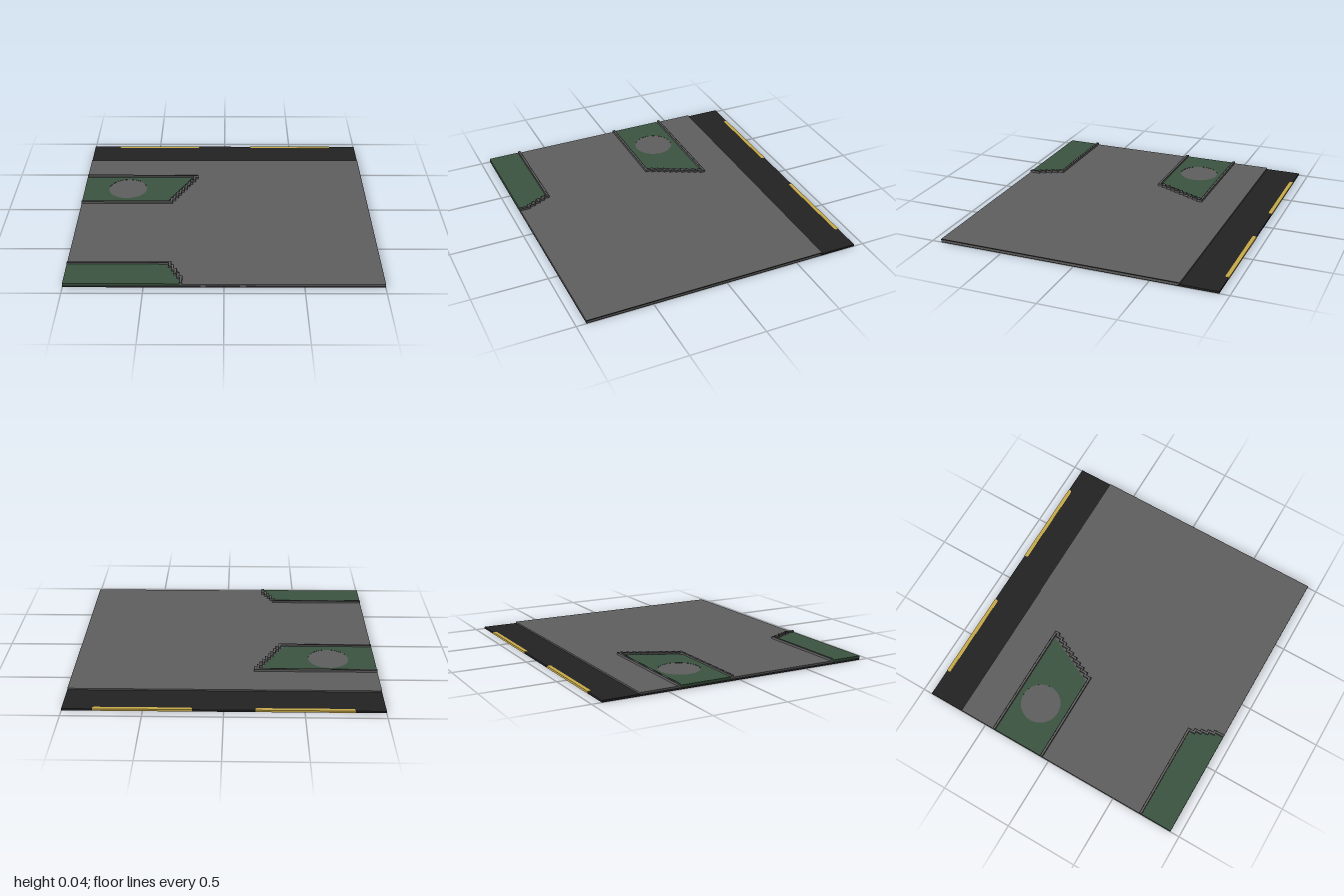
import * as THREE from 'three';

export function createModel() {
  const group = new THREE.Group();
  const material = (name, color) => {
    const m = new THREE.MeshStandardMaterial({ color });
    m.name = name;
    return m;
  };
  const asphalt = material('asphalt black', 0x222222);
  const concrete = material('concrete grey', 0x5f5f5f);
  const joint = material('joint dark grey', 0x363636);
  const grass = material('grass green', 0x3a543f);
  const paint = material('line yellow', 0xc8aa48);

  const add = (name, geometry, mat) => {
    const mesh = new THREE.Mesh(geometry, mat);
    mesh.name = name;
    group.add(mesh);
    return mesh;
  };
  const box = (name, mat, x0, x1, y0, y1, z0, z1) => {
    add(name, new THREE.BoxGeometry(x1 - x0, y1 - y0, z1 - z0), mat)
      .position.set((x0 + x1) / 2, (y0 + y1) / 2, (z0 + z1) / 2);
  };
  // Flat slab from an outline of [x, z] points, between heights y0 and y1
  const slab = (name, mat, points, y0, y1, hole) => {
    const shape = new THREE.Shape(points.map(([x, z]) => new THREE.Vector2(x, -z)));
    if (hole) shape.holes.push(new THREE.Path().absarc(hole.x, -hole.z, hole.r, 0, Math.PI * 2, true));
    const geometry = new THREE.ExtrudeGeometry(shape, { depth: y1 - y0, bevelEnabled: false, curveSegments: 16 });
    geometry.rotateX(-Math.PI / 2).translate(0, y0, 0);
    add(name, geometry, mat);
  };

  const D = 0.935;
  // Road base with two slots open to the front
  const slots = [[-0.145, -0.115, 0.45], [0.1, 0.135, 0.47]];
  const baseOutline = [[-1, -D], [0.998, -D], [0.998, D]];
  for (const [x0, x1, z] of [...slots].reverse()) baseOutline.push([x1, D], [x1, z], [x0, z], [x0, D]);
  baseOutline.push([-1, D]);
  slab('roadBase', asphalt, baseOutline, 0, 0.013);
  for (const [x0, x1, z] of slots) box('slotFilling', concrete, x0, x1, 0, 0.013, z, D);

  // Grass beds and the pavement cut out around them
  const backBed = [[-1, -0.415], [-0.235, -0.415], [-0.25, -0.375], [-0.395, -0.078], [-0.415, -0.062], [-1, -0.062]];
  const frontBed = [[-1, 0.72], [-0.375, 0.72], [-0.355, 0.735], [-0.275, 0.9], [-0.27, D], [-1, D]];
  const well = { x: -0.69, z: -0.25, r: 0.135 };
  slab('pavement', concrete, [
    [-1, -0.69], [0.998, -0.69], [0.998, D],
    ...frontBed.slice(0, 5).reverse(), ...[...backBed].reverse(),
  ], 0.013, 0.023);
  slab('backGrassBed', grass, backBed, 0.013, 0.027, well);
  slab('frontGrassBed', grass, frontBed, 0.013, 0.027);
  const disc = add('treeDisc', new THREE.CylinderGeometry(well.r, well.r, 0.013, 32), concrete);
  disc.position.set(well.x, 0.0195, well.z);

  // Edge bands on the left side
  box('edgeLowerBand', concrete, 0.998, 1, 0.005, 0.016, -0.68, D);
  box('edgeUpperBand', asphalt, 0.998, 1, 0.016, 0.023, -0.69, D);
  box('edgeFoot', asphalt, 0.998, 1, 0, 0.005, -0.69, D);
  box('edgeRoad', asphalt, 0.998, 1, 0, 0.013, -D, -0.69);

  // Stepped kerbs: each corner is [x, z, inward x, inward z]
  const backKerb = [[-1, -0.437, 0, 1], [-0.19, -0.437, -1, 1]];
  const steps = 10, dx = 0.019, dz = 0.0392;
  for (let i = 1; i <= steps; i++) {
    const z = -0.437 + dz * i;
    backKerb.push([-0.19 - dx * (i - 1), z, -1, -1]);
    if (i < steps) backKerb.push([-0.19 - dx * i, z, -1, -1]);
  }
  backKerb.push([-1, -0.045, 0, -1]);

  const frontKerb = [[-1, 0.7, 0, 1]];
  for (let i = 0; i < 5; i++) {
    const x = -0.335 + 0.019 * i;
    frontKerb.push([x, 0.7 + 0.04 * i, -1, 1]);
    if (i < 4) frontKerb.push([x, 0.74 + 0.04 * i, -1, 1]);
  }
  frontKerb.push([-0.259, D, -1, 0]);

  const band = (name, mat, path, d0, d1, y0, y1) => {
    const offset = (d) => path.map(([x, z, nx, nz]) => [x + nx * d, z + nz * d]);
    slab(name, mat, [...offset(d0), ...offset(d1).reverse()], y0, y1);
  };
  for (const [name, path] of [['backKerb', backKerb], ['frontKerb', frontKerb]]) {
    band(name, concrete, path, 0, 0.018, 0.022, 0.037);
    band(name + 'OuterLine', joint, path, 0, 0.005, 0.037, 0.038);
    band(name + 'InnerLine', joint, path, 0.013, 0.018, 0.037, 0.038);
  }

  // Yellow lane dashes along the back edge
  for (const s of [-1, 1]) {
    const a = Math.min(s * 0.195, s * 0.81), b = Math.max(s * 0.195, s * 0.81);
    slab('laneDash', paint, [
      [a, -D - 0.002], [b, -D - 0.002], [b, -0.919], [b - 0.008, -0.911], [a + 0.008, -0.911], [a, -0.919],
    ], 0.001, 0.0145);
  }
  return group;
}
